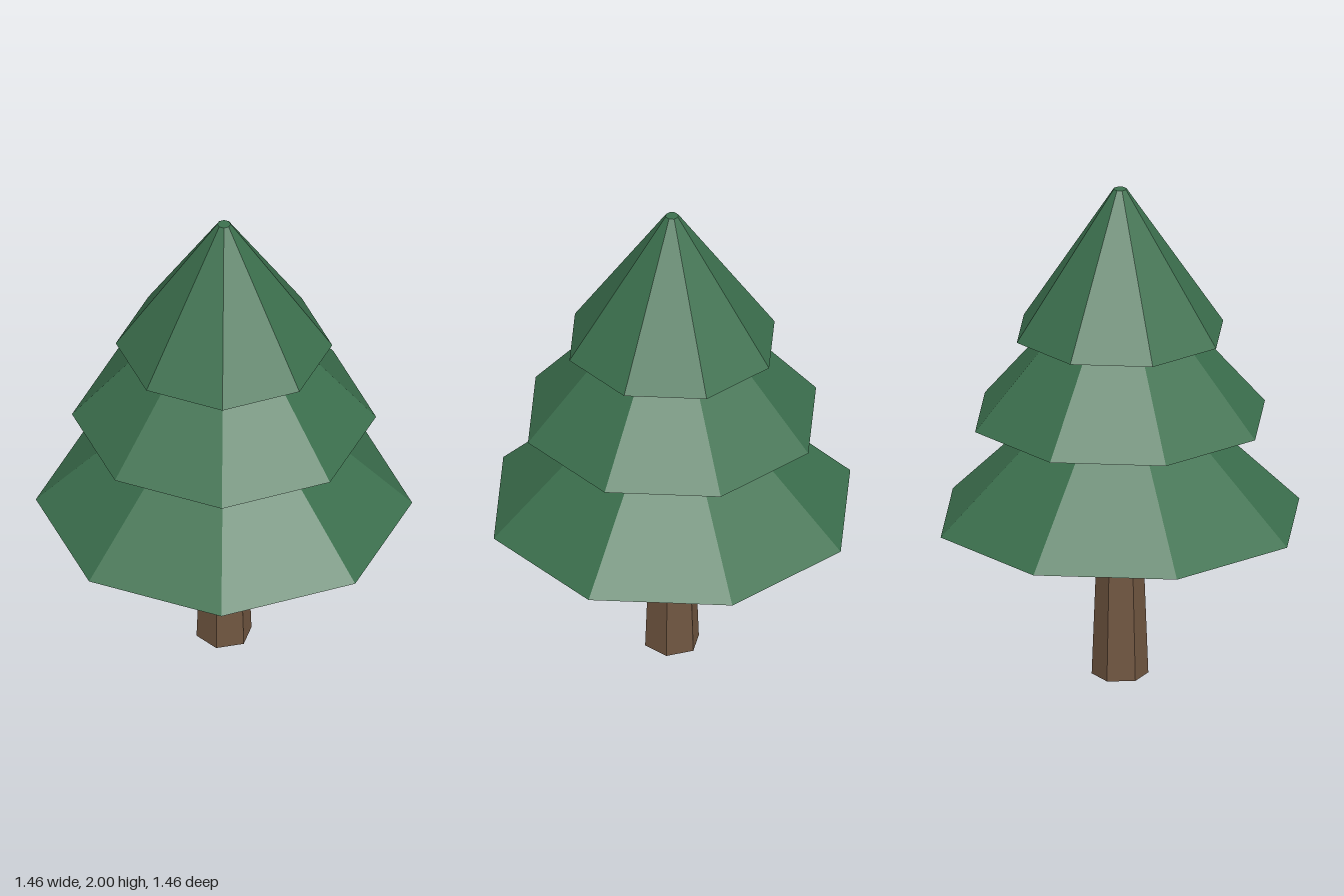
import * as THREE from 'three';

export function createModel() {
  const tree = new THREE.Group();
  tree.name = 'pineTree';

  const needles = new THREE.MeshStandardMaterial({ color: 0x3c704e, flatShading: true });
  needles.name = 'needle green';
  const bark = new THREE.MeshStandardMaterial({ color: 0x6f5540, flatShading: true });
  bark.name = 'bark brown';

  // Tapered faceted solid standing between two heights
  function taper(name, material, sides, bottomY, topY, bottomR, topR, turn = 0) {
    const geometry = new THREE.CylinderGeometry(topR, bottomR, topY - bottomY, sides);
    const mesh = new THREE.Mesh(geometry, material);
    mesh.name = name;
    mesh.position.y = (bottomY + topY) / 2;
    mesh.rotation.y = turn;
    tree.add(mesh);
  }

  // Six-sided trunk with corners on the x axis
  taper('trunk', bark, 6, 0, 0.66, 0.11, 0.085, Math.PI / 6);

  // Eight-sided foliage tiers, each tucked into the one above
  taper('lowerFoliage', needles, 8, 0.64, 1.33, 0.73, 0.03);
  taper('middleFoliage', needles, 8, 1.06, 1.71, 0.59, 0.03);
  taper('upperFoliage', needles, 8, 1.41, 2, 0.42, 0.026);

  return tree;
}
